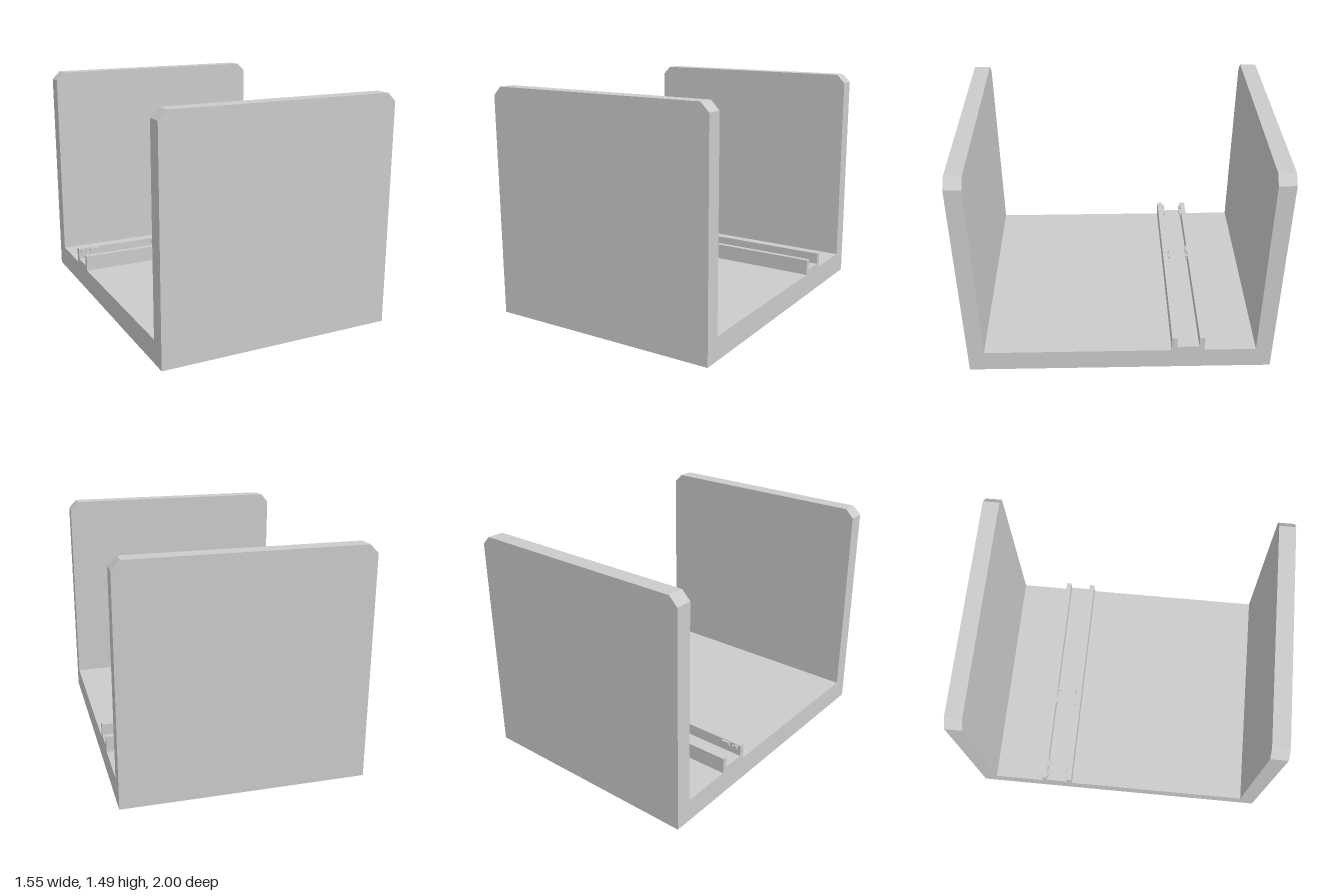
import * as THREE from 'three';

const WIDTH = 1.55, HALF = WIDTH / 2;
const WALL_T = 0.107, WALL_H = 1.487, CHAMFER = 0.055;
const FLOOR_H = 0.15, CHANNEL_Z = -0.446;

export function createModel() {
  const group = new THREE.Group();
  const material = new THREE.MeshStandardMaterial({ color: 0xcccccc, flatShading: true });

  const add = (name, geometry, x = 0, y = 0, z = 0) => {
    const mesh = new THREE.Mesh(geometry, material);
    mesh.name = name;
    mesh.position.set(x, y, z);
    group.add(mesh);
    return mesh;
  };
  const extrude = (points, depth) => new THREE.ExtrudeGeometry(
    new THREE.Shape(points.map(([x, y]) => new THREE.Vector2(x, y))),
    { depth, bevelEnabled: false });

  // End walls with chamfered upper corners
  const wall = extrude([
    [-HALF, 0], [HALF, 0], [HALF, WALL_H - CHAMFER], [HALF - CHAMFER, WALL_H],
    [-HALF + CHAMFER, WALL_H], [-HALF, WALL_H - CHAMFER],
  ], WALL_T);
  add('frontWall', wall, 0, 0, 1 - WALL_T);
  add('backWall', wall, 0, 0, -1);

  // Floor and U-shaped channel share one cross-section, swept along x
  const inner = 1 - WALL_T, outer = 0.108, slot = 0.073, c = -CHANNEL_Z;
  const floor = extrude([
    [-inner, 0], [inner, 0], [inner, FLOOR_H],
    [c + outer, FLOOR_H], [c + outer, 0.255], [c + slot, 0.255], [c + slot, 0.18],
    [c - slot, 0.18], [c - slot, 0.255], [c - outer, 0.255], [c - outer, FLOOR_H],
    [-inner, FLOOR_H],
  ], WIDTH);
  floor.rotateY(Math.PI / 2);
  add('floorWithChannel', floor, -HALF);

  // Two mirrored pairs of catches on the inner faces of the channel
  const catchY = 0.238, depth = 0.015;
  const bar = new THREE.BoxGeometry(0.058, 0.024, depth);
  const tab = new THREE.BoxGeometry(0.022, 0.024, depth);
  const peg = new THREE.CylinderGeometry(0.006, 0.006, depth, 12).rotateX(Math.PI / 2);
  for (const [x, dir] of [[-0.696, 1], [-0.146, -1]]) {
    for (const side of [-1, 1]) {
      const z = CHANNEL_Z + side * (slot - depth / 2);
      add('catchBar', bar, x + dir * 0.032, catchY, z);
      add('catchTab', tab, x - dir * 0.05, catchY, z);
      add('catchPeg', peg, x - dir * 0.024, catchY, z);
    }
  }
  return group;
}
